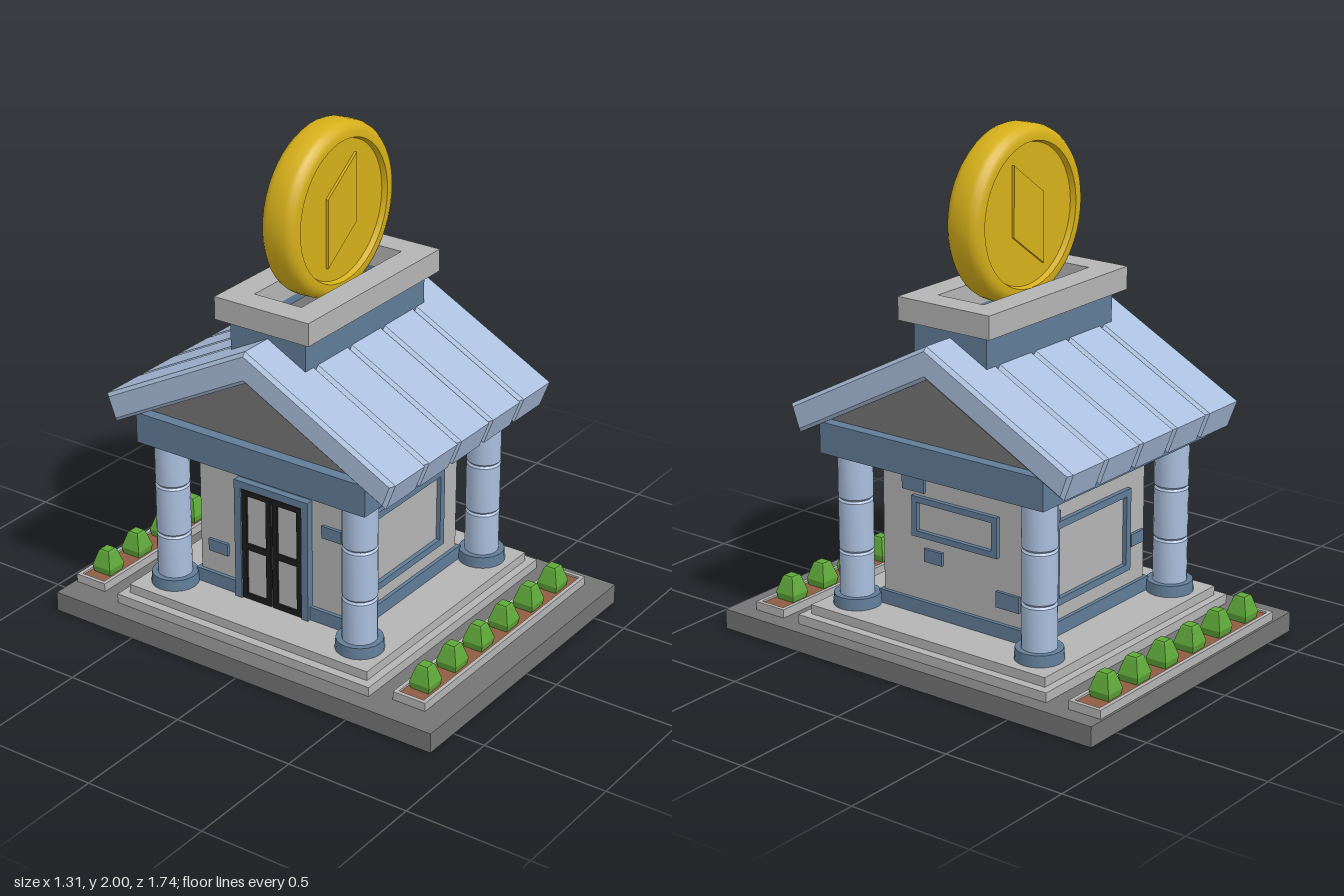
import * as THREE from 'three';
import { toCreasedNormals } from 'three/addons/utils/BufferGeometryUtils.js';

const mat = (color, extra = {}) => {
  const m = new THREE.MeshStandardMaterial({ color });
  return Object.assign(m, extra);
};

export function createModel() {
  const root = new THREE.Group();
  root.name = 'savingsHouse';
  const stone = mat(0xb4b4b4), dark = mat(0x747474), trim = mat(0x617d98), tile = mat(0xaabfdd);
  const gold = mat(0xd6b01a), soil = mat(0x8f5d43), black = mat(0x1c1c1c);
  const leaf = mat(0x5fa839, { flatShading: true });

  const add = (parent, name, geo, material, x = 0, y = 0, z = 0) => {
    const m = new THREE.Mesh(geo, material);
    m.name = name;
    m.position.set(x, y, z);
    parent.add(m);
    return m;
  };
  // Box given by its limits on each axis
  const box = (parent, name, material, x0, x1, y0, y1, z0, z1) =>
    add(parent, name, new THREE.BoxGeometry(x1 - x0, y1 - y0, z1 - z0), material,
      (x0 + x1) / 2, (y0 + y1) / 2, (z0 + z1) / 2);
  const rectPath = (path, x0, x1, y0, y1) => {
    path.moveTo(x0, y0); path.lineTo(x1, y0); path.lineTo(x1, y1); path.lineTo(x0, y1); path.closePath();
    return path;
  };
  // Rectangular frame in the xy plane with an even border, extruded along z
  const frameGeo = (x0, x1, y0, y1, border, depth) => {
    const s = rectPath(new THREE.Shape(), x0, x1, y0, y1);
    s.holes.push(rectPath(new THREE.Path(), x0 + border, x1 - border, y0 + border, y1 - border));
    return new THREE.ExtrudeGeometry(s, { depth, bevelEnabled: false });
  };

  // Ground slab
  box(root, 'groundSlab', dark, -0.653, 0.653, 0, 0.08, -0.87, 0.87);

  // Planters with clipped shrubs, front and back
  const shrubGeo = new THREE.LatheGeometry([
    [0, 0], [0.052, 0], [0.062, 0.035], [0.036, 0.096], [0.029, 0.104], [0, 0.104],
  ].map(p => new THREE.Vector2(...p)), 4, Math.PI / 4);
  for (const [name, z] of [['front', 0.702], ['back', -0.79]]) {
    const planter = new THREE.Group();
    planter.name = name + 'Planter';
    planter.position.set(0.021, 0.08, z);
    root.add(planter);
    const rim = add(planter, 'planterRim', frameGeo(-0.563, 0.563, -0.07, 0.07, 0.016, 0.034), stone);
    rim.rotation.x = -Math.PI / 2;
    box(planter, 'soil', soil, -0.548, 0.548, 0, 0.026, -0.055, 0.055);
    for (let i = 0; i < 6; i++) add(planter, 'shrub', shrubGeo, leaf, -0.455 + i * 0.178, 0.018, 0);
  }

  // Building, in its own centred frame
  const house = new THREE.Group();
  house.name = 'building';
  house.position.set(0.006, 0, -0.038);
  root.add(house);
  const W = 0.35, D = 0.353;
  box(house, 'lowerStep', stone, -0.583, 0.583, 0.08, 0.118, -0.588, 0.588);
  box(house, 'upperStep', stone, -0.547, 0.547, 0.118, 0.155, -0.555, 0.555);
  box(house, 'walls', stone, -W, W, 0.155, 0.77, -D, D);
  box(house, 'plinth', trim, -W - 0.015, W + 0.015, 0.155, 0.21, -D - 0.015, D + 0.015);
  box(house, 'entablature', trim, -0.515, 0.515, 0.765, 0.888, -0.52, 0.52);

  // Columns of three chamfered drums
  const columnPts = [[0, 0.2], [0.067, 0.2]];
  for (const y of [0.375, 0.582]) {
    columnPts.push([0.067, y - 0.008], [0.06, y], [0.067, y + 0.008]);
  }
  columnPts.push([0.067, 0.77], [0, 0.77]);
  const columnGeo = toCreasedNormals(
    new THREE.LatheGeometry(columnPts.map(p => new THREE.Vector2(...p)), 20), 0.5);
  const footGeo = new THREE.CylinderGeometry(0.09, 0.093, 0.045, 20);
  for (const x of [-0.417, 0.417]) for (const z of [-0.433, 0.433]) {
    add(house, 'column', columnGeo, tile, x, 0, z);
    add(house, 'columnFoot', footGeo, trim, x, 0.1775, z);
  }

  // Wall details are laid out in a facade's own plane: u across, y up, outwards +z
  const facade = (name, angle, dist) => {
    const g = new THREE.Group();
    g.name = name;
    g.rotation.y = angle;
    g.position.set(Math.sin(angle) * dist, 0, Math.cos(angle) * dist);
    house.add(g);
    return g;
  };
  const bricks = (g, list) => list.forEach(([u0, u1, y0, y1]) =>
    box(g, 'accentBrick', trim, u0, u1, y0, y1, -0.01, 0.012));
  const windowFrame = (g, u0, u1, y0, y1, b) => add(g, 'windowFrame', frameGeo(u0, u1, y0, y1, b, 0.018), trim);

  const front = facade('frontFacade', 0, D);
  windowFrame(front, -0.243, 0.24, 0.275, 0.605, 0.028);
  bricks(front, [[-0.212, -0.13, 0.695, 0.745], [0.22, 0.3, 0.64, 0.69], [-0.338, -0.253, 0.375, 0.425]]);

  const back = facade('backFacade', Math.PI, D);
  windowFrame(back, -0.24, 0.24, 0.275, 0.605, 0.028);
  bricks(back, [[-0.31, -0.2, 0.59, 0.645], [0.2, 0.29, 0.68, 0.73], [0.255, 0.335, 0.36, 0.41]]);

  const leftSide = facade('leftFacade', Math.PI / 2, W);
  windowFrame(leftSide, -0.203, 0.198, 0.465, 0.625, 0.024);
  bricks(leftSide, [[-0.253, -0.148, 0.64, 0.703], [-0.15, -0.066, 0.37, 0.422], [0.19, 0.295, 0.272, 0.335]]);

  // Entrance with a pair of glazed leaves
  const entrance = facade('entranceFacade', -Math.PI / 2, W);
  const jamb = 0.03;
  for (const s of [-1, 1]) {
    const a = s * 0.17, b = s * (0.17 - jamb);
    box(entrance, 'doorJamb', trim, Math.min(a, b), Math.max(a, b), 0.155, 0.655, 0, 0.03);
  }
  box(entrance, 'doorLintel', trim, -0.17, 0.17, 0.625, 0.655, 0, 0.03);
  box(entrance, 'doorGlass', stone, -0.14, 0.14, 0.155, 0.625, 0, 0.017);
  for (const u of [-0.138, 0.004]) {
    add(entrance, 'doorLeaf', frameGeo(u, u + 0.134, 0.158, 0.62, 0.022, 0.026), black);
    box(entrance, 'doorRail', black, u, u + 0.134, 0.37, 0.395, 0, 0.026);
  }
  bricks(entrance, [[-0.31, -0.22, 0.68, 0.73], [0.22, 0.31, 0.52, 0.57], [-0.31, -0.22, 0.3, 0.35]]);

  // Gable infill under the roof
  const gable = new THREE.Shape();
  gable.moveTo(-0.52, 0.886); gable.lineTo(0.52, 0.886); gable.lineTo(0, 1.165); gable.closePath();
  const gableGeo = new THREE.ExtrudeGeometry(gable, { depth: 0.94, bevelEnabled: false });
  gableGeo.translate(0, 0, -0.47).rotateY(Math.PI / 2);
  add(house, 'gable', gableGeo, dark);

  // Roof: five bevelled chevron panels side by side
  const bevel = 0.014, pitch = 0.2133;
  const chevron = new THREE.Shape();
  [[0, 1.262], [-0.636, 0.927], [-0.606, 0.847], [0, 1.168], [0.606, 0.847], [0.636, 0.927]]
    .forEach(([z, y], i) => (i ? chevron.lineTo(z, y) : chevron.moveTo(z, y)));
  chevron.closePath();
  const panelGeo = new THREE.ExtrudeGeometry(chevron, {
    depth: pitch - 2 * bevel, bevelEnabled: true, bevelSize: bevel, bevelThickness: bevel, bevelSegments: 1,
  });
  panelGeo.translate(0, 0, bevel - pitch / 2).rotateY(Math.PI / 2);
  for (let i = -2; i <= 2; i++) add(house, 'roofPanel', panelGeo, tile, i * pitch, 0, 0);

  // Coin slot: hollow neck and cap on the ridge
  const slotBlock = (name, material, w, d, y, h) => {
    const s = rectPath(new THREE.Shape(), -w, w, -d, d);
    s.holes.push(rectPath(new THREE.Path(), -0.32, 0.32, -0.105, 0.105));
    const geo = new THREE.ExtrudeGeometry(s, { depth: h, bevelEnabled: false });
    add(house, name, geo.rotateX(-Math.PI / 2), material, 0, y, 0);
  };
  slotBlock('slotNeck', trim, 0.384, 0.168, 1.15, 0.165);
  slotBlock('slotCap', stone, 0.423, 0.21, 1.315, 0.09);
  box(house, 'slotFloor', dark, -0.322, 0.322, 1.24, 1.285, -0.107, 0.107);

  // Coin with rounded edge and sunken faces
  const half = [[0.335, 0], [0.334, 0.035], [0.328, 0.052], [0.316, 0.066], [0.298, 0.073], [0.275, 0.073], [0.268, 0.052], [0, 0.052]];
  const coinPts = [
    ...half.slice(1).reverse().map(([r, y]) => new THREE.Vector2(r, -y)),
    ...half.map(([r, y]) => new THREE.Vector2(r, y)),
  ];
  const coinGeo = toCreasedNormals(new THREE.LatheGeometry(coinPts, 48).rotateX(Math.PI / 2), 0.7);
  const coin = add(house, 'coin', coinGeo, gold, -0.004, 1.665, 0);

  // Plain lozenge relief on both faces of the coin
  const lozenge = new THREE.Shape();
  lozenge.moveTo(-0.09, -0.2); lozenge.lineTo(0.09, -0.07); lozenge.lineTo(0.09, 0.2);
  lozenge.lineTo(-0.09, 0.07); lozenge.closePath();
  const reliefGeo = new THREE.ExtrudeGeometry(lozenge, { depth: 0.126, bevelEnabled: false });
  add(coin, 'coinRelief', reliefGeo, gold, 0, 0, -0.063);

  return root;
}
